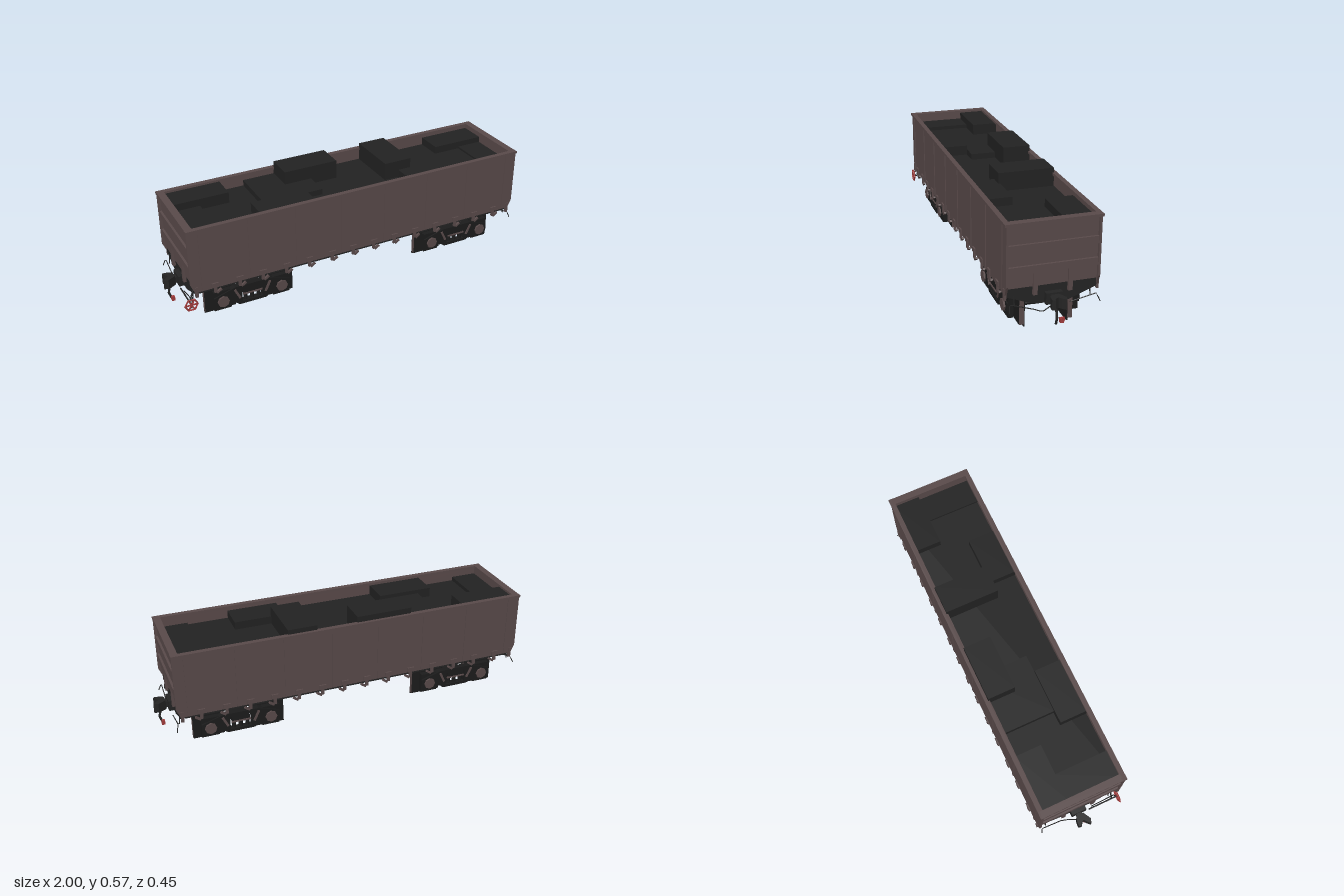
import * as THREE from 'three';

const mat = (name, color) => {
  const m = new THREE.MeshStandardMaterial({ color, side: THREE.DoubleSide, flatShading: true });
  m.name = name;
  return m;
};

export function createModel() {
  const brown = mat('brown body paint', 0x594a4a);
  const dark = mat('dark underframe', 0x242424);
  const black = mat('black bogie iron', 0x1c1c1c);
  const load = mat('dark load', 0x222222);
  const red = mat('red fittings', 0xa23c3c);
  const root = new THREE.Group();
  root.name = 'openWagon';

  const add = (parent, name, geo, material) => {
    const m = new THREE.Mesh(geo, material);
    m.name = name;
    parent.add(m);
    return m;
  };
  // box given by its limits on each axis
  const box = (p, name, material, x0, x1, y0, y1, z0, z1) => {
    const m = add(p, name, new THREE.BoxGeometry(x1 - x0, y1 - y0, z1 - z0), material);
    m.position.set((x0 + x1) / 2, (y0 + y1) / 2, (z0 + z1) / 2);
    return m;
  };
  // straight-jointed rod through points
  const rod = (p, name, material, r, pts) => {
    const path = new THREE.CurvePath();
    const v = pts.map(a => new THREE.Vector3(...a));
    for (let i = 1; i < v.length; i++) path.add(new THREE.LineCurve3(v[i - 1], v[i]));
    return add(p, name, new THREE.TubeGeometry(path, (v.length - 1) * 4, r, 5), material);
  };
  const plate = (pts, depth) => new THREE.ExtrudeGeometry(
    new THREE.Shape(pts.map(a => new THREE.Vector2(...a))), { depth, bevelEnabled: false });

  // ---- side walls with clipped lower corners, ribs and door latches
  const latchX = [0.06, 0.18, 0.305, 0.43, 0.555, 0.675, 0.8].flatMap(x => [-x, x]);
  for (const s of [1, -1]) {
    const side = new THREE.Group();
    side.name = s > 0 ? 'frontSide' : 'backSide';
    const wall = add(side, 'sideWall', plate([[-0.92, 0.54], [-0.92, 0.25], [-0.9, 0.205],
      [0.9, 0.205], [0.92, 0.25], [0.92, 0.54]], 0.01), brown);
    wall.position.z = s > 0 ? 0.208 : -0.218;
    const zz = (a, b) => s > 0 ? [a, b] : [-b, -a];
    box(side, 'topRail', brown, -0.922, 0.922, 0.53, 0.543, ...zz(0.2, 0.225));
    for (const x of [-0.86, -0.615, -0.37, -0.123, 0.123, 0.37, 0.615, 0.86])
      box(side, 'sideRib', brown, x - 0.006, x + 0.006, 0.21, 0.53, ...zz(0.217, 0.222));
    for (const x of latchX) {
      box(side, 'latchPlate', brown, x - 0.018, x + 0.018, 0.21, 0.234, ...zz(0.217, 0.225));
      box(side, 'latchBar', brown, x - 0.007, x + 0.007, 0.18, 0.215, ...zz(0.212, 0.224));
      const hook = box(side, 'latchHook', brown, x + 0.003, x + 0.033, 0.178, 0.188, ...zz(0.21, 0.222));
      hook.rotation.z = 0.6;
    }
    box(side, 'sideSill', dark, -0.88, 0.88, 0.19, 0.207, ...zz(0.19, 0.208));
    root.add(side);
  }

  // ---- end walls, ribs, posts, couplers and hoses (the far end is turned half round)
  for (const s of [1, -1]) {
    const end = new THREE.Group();
    end.name = s > 0 ? 'leftEnd' : 'rightEnd';
    box(end, 'endWall', brown, 0.888, 0.905, 0.235, 0.54, -0.215, 0.215);
    box(end, 'endTopRail', brown, 0.885, 0.921, 0.53, 0.543, -0.222, 0.222);
    box(end, 'endRibUpper', brown, 0.9, 0.916, 0.405, 0.44, -0.212, 0.212);
    box(end, 'endRibLower', brown, 0.9, 0.916, 0.302, 0.338, -0.212, 0.212);
    for (const z of [-0.0815, 0.0815])
      box(end, 'endPost', brown, 0.89, 0.915, 0.195, 0.302, z - 0.01, z + 0.01);
    const apron = add(end, 'endApron', plate([[-0.21, 0.236], [-0.21, 0.195], [-0.08, 0.145],
      [0.08, 0.145], [0.21, 0.195], [0.21, 0.236]], 0.02), dark);
    apron.rotation.y = Math.PI / 2;
    apron.position.x = 0.88;
    for (const z of [-0.216, 0.216]) box(end, 'cornerStep', brown, 0.885, 0.9, 0.18, 0.235, z - 0.006, z + 0.006);

    // coupler with an open claw
    box(end, 'couplerHousing', dark, 0.89, 0.925, 0.145, 0.2, -0.042, 0.035);
    box(end, 'couplerShank', dark, 0.9, 0.955, 0.155, 0.185, -0.015, 0.015);
    const claw = add(end, 'couplerClaw', plate([[0.935, -0.02], [0.975, -0.042], [0.998, -0.034],
      [0.982, -0.016], [0.968, -0.006], [0.978, 0.014], [0.99, 0.014], [0.985, 0.03], [0.955, 0.027],
      [0.935, 0.015]], 0.05), dark);
    claw.rotation.x = Math.PI / 2;
    claw.position.y = 0.197;

    // brake hose, red cock and uncoupling rod
    rod(end, 'brakeHose', dark, 0.006, [[0.9, 0.15, 0], [0.955, 0.15, 0], [0.97, 0.1, 0], [0.958, 0.03 + 0.035, 0]]);
    box(end, 'hoseTip', red, 0.95, 0.966, 0.068, 0.09, -0.036, -0.018);
    box(end, 'hoseCock', red, 0.955, 0.967, 0.08, 0.094, -0.038, -0.026);
    rod(end, 'uncouplingRod', dark, 0.0025, [[0.93, 0.13, 0.205], [0.915, 0.165, 0.2],
      [0.915, 0.128, 0.09], [0.925, 0.115, 0.05], [0.945, 0.15, 0.02]]);
    rod(end, 'rodHandle', dark, 0.0025, [[0.915, 0.14, -0.08], [0.915, 0.165, -0.205], [0.925, 0.128, -0.221]]);
    for (const z of [-0.18, 0.175]) rod(end, 'rodHanger', dark, 0.003, [[0.895, 0.21, z], [0.905, 0.15, z]]);
    end.rotation.y = s > 0 ? 0 : Math.PI;
    root.add(end);
  }

  // ---- floor, centre sill and tapered cross beams
  box(root, 'floor', dark, -0.89, 0.89, 0.205, 0.215, -0.208, 0.208);
  box(root, 'centreSill', dark, -0.9, 0.9, 0.158, 0.206, -0.075, 0.075);
  for (const x of latchX) {
    const beam = add(root, 'crossBeam', plate([[-0.205, 0.206], [-0.205, 0.192], [-0.075, 0.16],
      [0.075, 0.16], [0.205, 0.192], [0.205, 0.206]], 0.014), dark);
    beam.rotation.y = Math.PI / 2;
    beam.position.x = x - 0.007;
  }

  // ---- blocky load: [x0, x1, z0, z1, top]
  for (const [x0, x1, z0, z1, top] of [
    [-0.888, 0.888, -0.208, 0.208, 0.475],
    [-0.888, -0.6, -0.208, -0.07, 0.532], [-0.888, -0.75, -0.07, 0.208, 0.495],
    [-0.54, -0.25, 0.065, 0.208, 0.525], [-0.47, -0.155, -0.208, 0.065, 0.505],
    [-0.3, -0.01, -0.208, -0.065, 0.573], [0.2, 0.35, -0.208, 0.075, 0.567],
    [0.28, 0.54, 0.065, 0.208, 0.515], [0.6, 0.888, -0.208, -0.07, 0.515],
    [0.75, 0.888, -0.07, 0.208, 0.485]])
    box(root, 'loadBlock', load, x0, x1, 0.3, top, z0, z1);

  // ---- two bogies with square wheel plates
  for (const cx of [-0.597, 0.597]) {
    const bogie = new THREE.Group();
    bogie.name = 'bogie';
    bogie.position.x = cx;
    box(bogie, 'bolster', black, -0.045, 0.045, 0.09, 0.125, -0.175, 0.175);
    box(bogie, 'pivot', black, -0.05, 0.05, 0.12, 0.16, -0.05, 0.05);
    box(bogie, 'brakeBeam', black, -0.135, -0.115, 0.07, 0.09, -0.1, 0.1);
    box(bogie, 'brakeBeam', black, 0.115, 0.135, 0.07, 0.09, -0.1, 0.1);
    for (const s of [1, -1]) {
      const zz = (a, b) => s > 0 ? [a, b] : [-b, -a];
      // arched side frame with a spring window
      const outline = new THREE.Shape([[-0.2, 0.07], [-0.09, 0.055], [-0.07, 0.04], [0.07, 0.04], [0.09, 0.055],
        [0.2, 0.07], [0.2, 0.11], [0.09, 0.145], [-0.09, 0.145], [-0.2, 0.11]].map(a => new THREE.Vector2(...a)));
      outline.holes.push(new THREE.Path([[-0.055, 0.055], [-0.055, 0.125], [0.055, 0.125], [0.055, 0.055]]
        .map(a => new THREE.Vector2(...a))));
      const frame = add(bogie, 'sideFrame',
        new THREE.ExtrudeGeometry(outline, { depth: 0.03, bevelEnabled: false }), black);
      frame.position.z = s > 0 ? 0.145 : -0.175;
      for (const x of [-0.035, 0, 0.035]) {
        const spring = add(bogie, 'spring', new THREE.CylinderGeometry(0.011, 0.011, 0.035, 8), black);
        spring.position.set(x, 0.074, s * 0.16);
      }
      box(bogie, 'springCap', brown, -0.05, 0.05, 0.093, 0.1, ...zz(0.172, 0.18));
      for (const x of [-0.08, 0.08]) {
        const strut = box(bogie, 'frameStrut', brown, x - 0.006, x + 0.006, 0.075, 0.135, ...zz(0.174, 0.179));
        strut.rotation.z = x > 0 ? -0.45 : 0.45;
      }
      for (const x of [-0.155, 0.155]) {
        // wheel: dark square flange plate, brown tread edges
        box(bogie, 'wheelFlange', black, x - 0.078, x + 0.078, 0, 0.155, ...zz(0.1, 0.106));
        box(bogie, 'wheelTread', [brown, brown, black, black, black, black],
          x - 0.08, x + 0.08, 0.012, 0.15, ...zz(0.104, 0.127));
        box(bogie, 'axleBox', black, x - 0.045, x + 0.045, 0.035, 0.14, ...zz(0.143, 0.168));
        const cap = add(bogie, 'axleCap', new THREE.CylinderGeometry(0.03, 0.03, 0.012, 8), brown);
        cap.rotation.x = Math.PI / 2;
        cap.position.set(x, 0.085, s * 0.178);
      }
    }
    for (const x of [-0.155, 0.155]) {
      const axle = add(bogie, 'axle', new THREE.CylinderGeometry(0.014, 0.014, 0.3, 8), black);
      axle.rotation.x = Math.PI / 2;
      axle.position.set(x, 0.08, 0);
    }
    root.add(bogie);
  }

  // ---- brake handwheel
  const wheel = new THREE.Group();
  wheel.name = 'handwheel';
  add(wheel, 'wheelRim', new THREE.TorusGeometry(0.032, 0.0045, 5, 6), red);
  for (let i = 0; i < 3; i++) {
    const spoke = box(wheel, 'wheelSpoke', red, -0.032, 0.032, -0.003, 0.003, -0.003, 0.003);
    spoke.rotation.z = i * Math.PI / 3;
  }
  wheel.position.set(-0.925, 0.148, 0.222);
  root.add(wheel);
  rod(root, 'handwheelShaft', dark, 0.004, [[-0.925, 0.146, 0.222], [-0.925, 0.146, 0.06]]);
  rod(root, 'shaftHanger', dark, 0.004, [[-0.925, 0.146, 0.19], [-0.9, 0.21, 0.19]]);
  return root;
}
